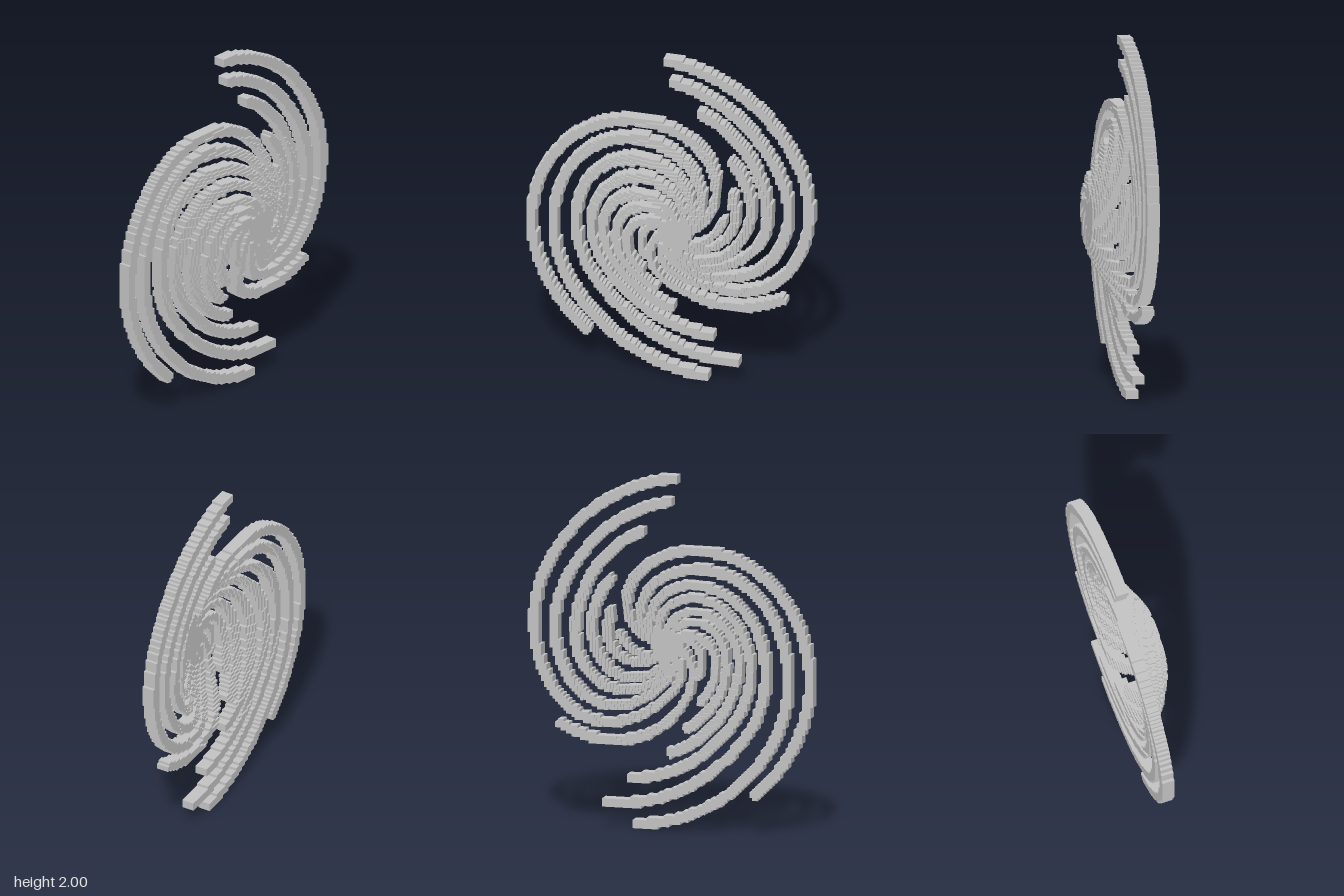
import * as THREE from 'three';

const CELL = 0.016, ROWS = 125;
const POLE = { x: 0.08, y: 1 };

// Each arm winds clockwise: angle of its tip in degrees, then its radius every 45 degrees
const RIGHT_ARMS = [
  { tip: 95, radii: [0.98, 0.825, 0.718, 0.59, 0.315, 0.115] },
  { tip: 94, radii: [0.847, 0.685, 0.598, 0.468, 0.21, 0.05] },
  { tip: 81, radii: [0.677, 0.536, 0.455, 0.3, 0.05] },
  { tip: 54, radii: [0.483, 0.39, 0.288, 0.09] },
  { tip: 35, radii: [0.352, 0.27, 0.08] },
  { tip: 14, radii: [0.257, 0.12] },
  { tip: -38, radii: [0.709, 0.47, 0.232, 0.06] },
];
const LEFT_ARMS = [
  { tip: -125.5, radii: [0.957, 0.883, 0.758, 0.568, 0.348, 0.07] },
  { tip: -83, radii: [0.983, 0.852, 0.752, 0.637, 0.433, 0.23, 0.03] },
  { tip: -71, radii: [0.911, 0.725, 0.64, 0.55, 0.38, 0.195, 0.03] },
  { tip: -78, radii: [0.735, 0.6, 0.533, 0.423, 0.26, 0.09] },
  { tip: -97, radii: [0.569, 0.484, 0.41, 0.255, 0.06] },
  { tip: -110, radii: [0.457, 0.384, 0.286, 0.11] },
  { tip: -126.5, radii: [0.361, 0.277, 0.11] },
  { tip: -138, radii: [0.241, 0.16, 0.02] },
];

// Front height of the disc: flat crown, sloping shoulder, thin outer rim
const PROFILE = [[0, 0.13], [0.17, 0.13], [0.25, 0.1], [0.35, 0.045], [0.45, -0.02], [0.52, -0.044], [0.8, -0.048], [2, -0.08]];
function frontHeight(x, y) {
  const r = Math.hypot(x, y - 1);
  const k = PROFILE.findIndex(p => p[0] > r);
  const [r0, z0] = PROFILE[k - 1], [r1, z1] = PROFILE[k];
  return Math.round((z0 + (z1 - z0) * (r - r0) / (r1 - r0)) / 0.01) * 0.01;
}

const key = (i, j) => i + ',' + j;

// Claim every free grid cell within a radius of a point
function stamp(cells, part, x, y, radius) {
  const n = Math.ceil(radius / CELL) + 1;
  const ci = Math.floor(x / CELL), cj = Math.floor(y / CELL);
  for (let i = ci - n; i <= ci + n; i++) {
    for (let j = Math.max(0, cj - n); j <= Math.min(ROWS - 1, cj + n); j++) {
      const cx = (i + 0.5) * CELL, cy = (j + 0.5) * CELL;
      if (Math.hypot(cx - x, cy - y) > radius || cells.has(key(i, j))) continue;
      const front = frontHeight(cx, cy);
      const cell = { i, j, cx, cy, front, back: front - 0.07 };
      cells.set(key(i, j), cell);
      part.cells.push(cell);
    }
  }
}

// Lay an arm on the grid, slightly wider towards its tip
function layArm(cells, name, { tip, radii }) {
  const part = { name, cells: [] };
  const curve = new THREE.CatmullRomCurve3(radii.map((r, k) => new THREE.Vector3(k, r, 0)), false, 'catmullrom');
  const steps = (radii.length - 1) * 120;
  for (let s = 0; s <= steps; s++) {
    const p = curve.getPoint(s / steps);
    const angle = THREE.MathUtils.degToRad(tip - 45 * p.x);
    const width = 0.016 + 0.012 * Math.min(1, p.y / 0.5);
    stamp(cells, part, POLE.x + p.y * Math.cos(angle), POLE.y + p.y * Math.sin(angle), width);
  }
  return part;
}

// Blocks of one part, with only the exposed faces
function blockGeometry(cells, part) {
  const pos = [], h = CELL / 2;
  const quad = (a, b, c, d) => pos.push(...a, ...b, ...c, ...a, ...c, ...d);
  for (const { i, j, cx, cy, front, back } of part.cells) {
    const corner = (sx, sy, z) => [cx + sx * h, cy + sy * h, z];
    quad(corner(-1, -1, front), corner(1, -1, front), corner(1, 1, front), corner(-1, 1, front));
    quad(corner(-1, -1, back), corner(-1, 1, back), corner(1, 1, back), corner(1, -1, back));
    for (const [dx, dy] of [[1, 0], [0, 1], [-1, 0], [0, -1]]) {
      const wall = (low, high) => {
        if (high - low < 1e-4) return;
        const ax = dx + dy, ay = dy - dx, bx = dx - dy, by = dy + dx;
        quad(corner(ax, ay, low), corner(bx, by, low), corner(bx, by, high), corner(ax, ay, high));
      };
      const next = cells.get(key(i + dx, j + dy));
      if (!next) wall(back, front);
      else {
        wall(Math.max(back, next.front), front);
        wall(back, Math.min(front, next.back));
      }
    }
  }
  const geometry = new THREE.BufferGeometry();
  geometry.setAttribute('position', new THREE.Float32BufferAttribute(pos, 3));
  geometry.computeVertexNormals();
  return geometry;
}

export function createModel() {
  const group = new THREE.Group();
  group.name = 'spiralGalaxy';
  const grey = new THREE.MeshStandardMaterial({ color: 0xc2c2c2 });
  grey.name = 'paleGrey';

  const cells = new Map();
  const core = { name: 'core', cells: [] };
  stamp(cells, core, POLE.x, POLE.y, 0.09);
  const parts = [
    core,
    ...RIGHT_ARMS.map((arm, k) => layArm(cells, 'rightArm' + (k + 1), arm)),
    ...LEFT_ARMS.map((arm, k) => layArm(cells, 'leftArm' + (k + 1), arm)),
  ];

  for (const part of parts) {
    const mesh = new THREE.Mesh(blockGeometry(cells, part), grey);
    mesh.name = part.name;
    group.add(mesh);
  }
  return group;
}
